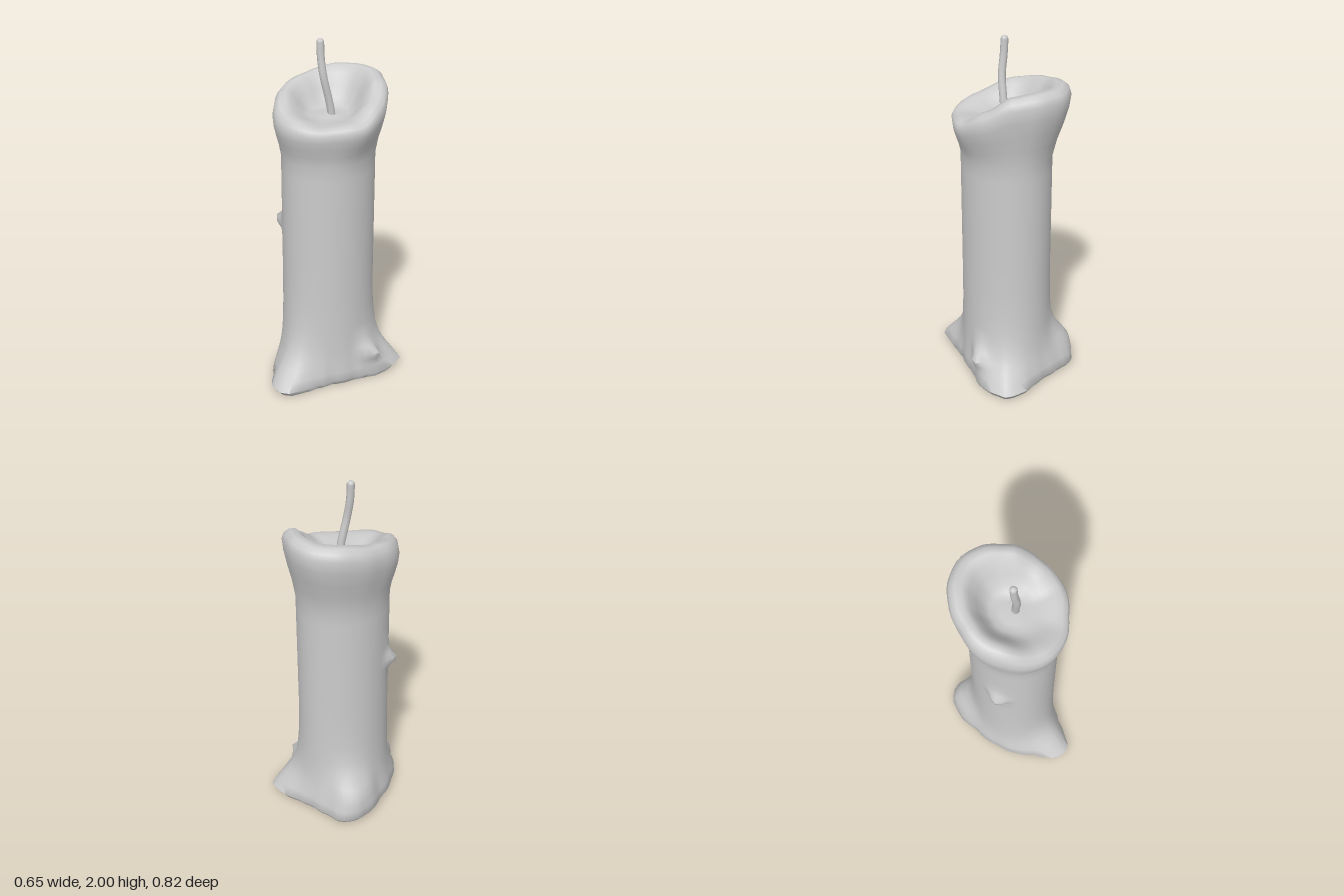
import * as THREE from 'three';
import { toCreasedNormals } from 'three/addons/utils/BufferGeometryUtils.js';

const COLUMNS = 60, CZ = -0.04;

// Outlines around the candle axis: [degrees, value], 0 = +x, 90 = front
const FOOT = [[0, 0.26], [30, 0.26], [48, 0.31], [60, 0.39], [66, 0.445], [74, 0.468], [82, 0.444], [98, 0.36],
  [119, 0.32], [140, 0.29], [172, 0.29], [198, 0.353], [212, 0.39], [225, 0.396], [239, 0.345], [260, 0.32],
  [275, 0.34], [293, 0.403], [305, 0.438], [316, 0.4], [333, 0.345], [345, 0.29]];
const RIM_RADIUS = [[0, 0.31], [30, 0.29], [60, 0.31], [80, 0.318], [105, 0.31], [130, 0.3], [160, 0.305], [180, 0.3],
  [205, 0.322], [230, 0.35], [250, 0.365], [270, 0.35], [290, 0.325], [310, 0.32], [335, 0.313]];
const RIM_HEIGHT = [[0, 1.56], [45, 1.55], [90, 1.55], [135, 1.6], [180, 1.66], [225, 1.72], [270, 1.73], [300, 1.71], [330, 1.62]];
const LIP_HEIGHT = [[0, 1.6], [45, 1.58], [90, 1.62], [135, 1.7], [180, 1.74], [225, 1.78], [270, 1.785], [300, 1.765], [330, 1.68]];

const lerp = THREE.MathUtils.lerp;
const bell = (d, width) => Math.exp(-((d / width) ** 2));

// Smooth lookup in a closed outline
function sample(table, deg) {
  const n = table.length;
  let i = n - 1;
  while (table[i][0] > deg) i--;
  const a = table[i], b = table[(i + 1) % n];
  const t = (deg - a[0]) / ((b[0] - a[0] + 360) % 360);
  return lerp(a[1], b[1], t * t * (3 - 2 * t) * 0.5 + t * 0.5);
}

// One vertical section of the wax as [radius, height], from under the foot to the pool centre
function section(deg) {
  const a = THREE.MathUtils.degToRad(deg);
  const body = 1 / Math.hypot(Math.cos(a) / 0.24, Math.sin(a) / 0.27);
  const foot = sample(FOOT, deg), rim = sample(RIM_RADIUS, deg);
  const rimY = sample(RIM_HEIGHT, deg), lipY = sample(LIP_HEIGHT, deg), floorY = 1.575;
  const points = [[0, 0], [foot * 0.94, 0]];

  // Melted foot; the side lobe keeps its width higher up
  const hold = bell(deg - 208, 28);
  const flare = [[0.03, 1, 1], [0.08, 0.78, 1], [0.13, 0.55, 0.95], [0.17, 0.38, 0.85],
    [0.21, 0.26, 0.65], [0.27, 0.14, 0.3], [0.35, 0.07, 0.1], [0.45, 0.02, 0.03]];
  for (const [y, low, high] of flare) {
    const spur = 0.07 * bell(deg - 339, 11) * bell(y - 0.17, 0.05);
    points.push([lerp(body, foot, lerp(low, high, hold)) + spur, y]);
  }

  // Shaft with a small drip on its side
  for (const y of [0.6, 0.75, 0.85, 0.89, 0.92, 0.95, 0.98, 1.03, 1.15, 1.28, 1.36]) {
    points.push([body + 0.055 * bell(deg - 138, 11) * bell(y - 0.935, 0.04), y]);
  }

  // Flared neck, rounded lip and hollow pool
  for (const [t, out] of [[0.3, 0.28], [0.55, 0.62], [0.8, 0.9], [1, 1]]) {
    points.push([lerp(body, rim, out), lerp(1.36, rimY, t)]);
  }
  points.push([rim * 0.965, lerp(rimY, lipY, 0.6)], [rim * 0.88, lerp(rimY, lipY, 0.94)]);
  for (const [r, drop] of [[0.77, 0], [0.66, 0.2], [0.56, 0.5], [0.46, 0.8], [0.36, 0.97], [0.2, 1]]) {
    points.push([rim * r, lerp(lipY, floorY, drop)]);
  }
  points.push([0, 1.595]);
  return points;
}

function waxGeometry() {
  const positions = [], index = [];
  let rows = 0;
  for (let i = 0; i < COLUMNS; i++) {
    const deg = (i / COLUMNS) * 360, a = THREE.MathUtils.degToRad(deg);
    const points = section(deg);
    rows = points.length;
    for (const [r, y] of points) positions.push(r * Math.cos(a), y, CZ + r * Math.sin(a));
  }
  for (let i = 0; i < COLUMNS; i++) {
    const p = i * rows, q = ((i + 1) % COLUMNS) * rows;
    for (let j = 0; j < rows - 1; j++) {
      if (j < rows - 2) index.push(p + j, p + j + 1, q + j + 1);
      if (j > 0) index.push(p + j, q + j + 1, q + j);
    }
  }
  const geometry = new THREE.BufferGeometry();
  geometry.setAttribute('position', new THREE.Float32BufferAttribute(positions, 3));
  geometry.setIndex(index);
  return toCreasedNormals(geometry, 1.1);
}

export function createModel() {
  const model = new THREE.Group();
  model.name = 'candle';
  const material = new THREE.MeshStandardMaterial({ color: 0xcccccc });
  const add = (name, geometry, parent) => {
    const mesh = new THREE.Mesh(geometry, material);
    mesh.name = name;
    parent.add(mesh);
    return mesh;
  };

  add('wax', waxGeometry(), model);

  // Bent wick with a rounded end
  const wick = new THREE.Group();
  wick.name = 'wick';
  model.add(wick);
  const path = new THREE.CatmullRomCurve3([
    new THREE.Vector3(0.02, 1.56, -0.05), new THREE.Vector3(0.014, 1.66, -0.033),
    new THREE.Vector3(0.004, 1.79, -0.004), new THREE.Vector3(-0.012, 1.89, 0.002),
    new THREE.Vector3(-0.018, 1.98, 0.002)]);
  add('wickStem', new THREE.TubeGeometry(path, 12, 0.021, 8), wick);
  add('wickTip', new THREE.SphereGeometry(0.021, 8, 6), wick).position.set(-0.018, 1.979, 0.002);

  return model;
}
